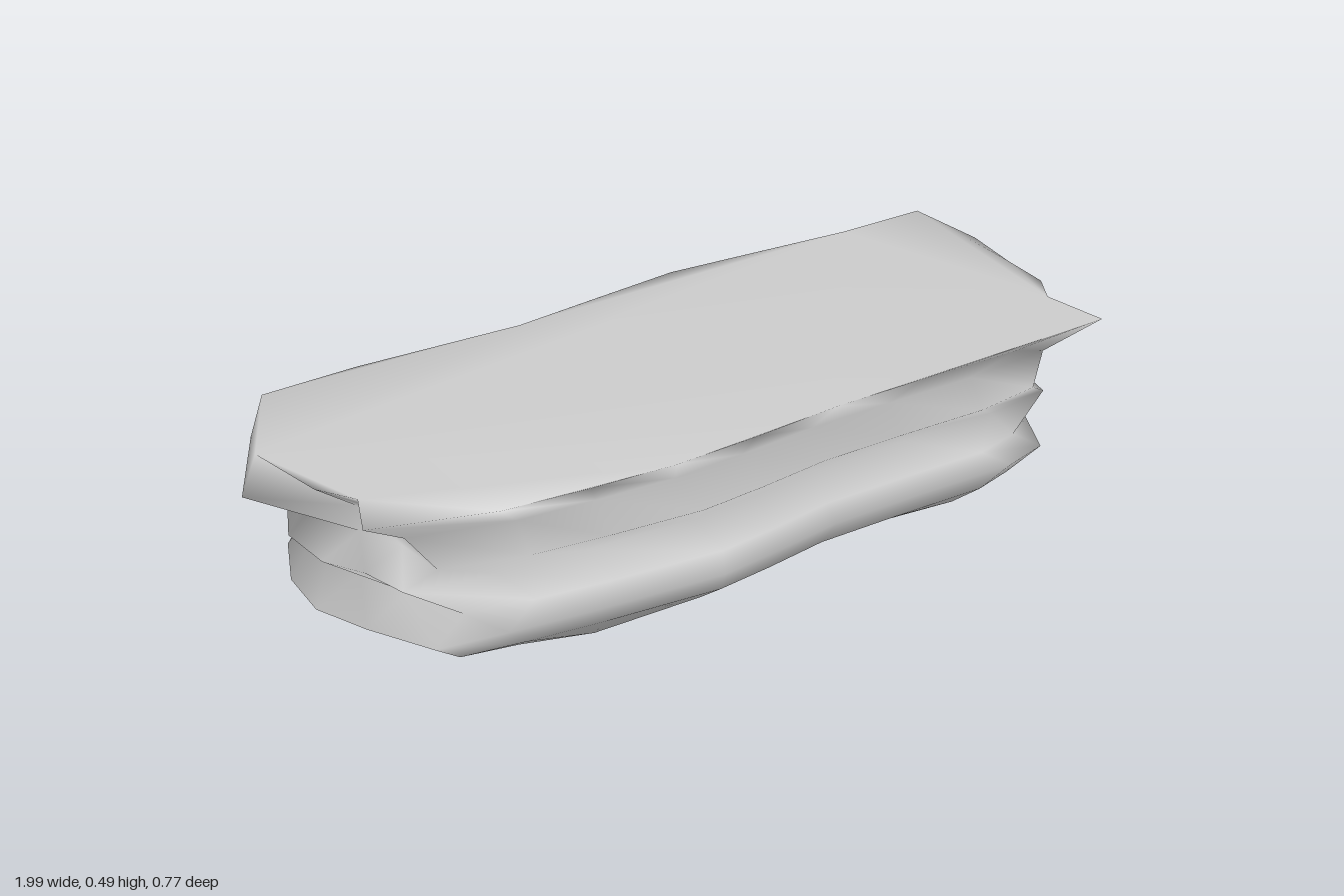
import * as THREE from 'three';

// Plan outlines [x, z], counter-clockwise from above, starting at the front left corner
const LEDGE = [
  [-.87, .24], [-.6, .32], [-.4, .34], [-.2, .353], [0, .345], [.22, .33], [.45, .33], [.7, .335], [.96, .32],
  [.92, .17], [.955, .1], [.95, -.02], [.955, -.16],
  [.92, -.35], [.7, -.35], [.45, -.37], [.23, -.387], [0, -.365], [-.2, -.345], [-.6, -.365], [-.83, -.36],
  [-.92, -.21], [-.94, -.14], [-.89, .05], [-.83, .13],
];
const BULGE = [
  [-.76, .31], [-.6, .335], [-.4, .36], [-.1, .387], [.05, .37], [.22, .345], [.45, .345], [.7, .35], [.81, .32],
  [.86, .2], [.89, .08], [.89, -.05], [.86, -.2],
  [.79, -.31], [.65, -.34], [.45, -.35], [.23, -.35], [0, -.34], [-.2, -.335], [-.6, -.345], [-.77, -.31],
  [-.86, -.21], [-.91, -.08], [-.91, .05], [-.85, .17],
];

// Strata from top to bottom: height, blend ledge-to-bulge, x scale, front z scale, back z scale, end spike
const STRATA = [
  [.505, 0, 1, 1, 1, 0],
  [.428, .1, .89, .82, .85, .17],
  [.37, .5, .885, .96, .95, 0],
  [.318, .6, .98, .82, .84, 0],
  [.265, .9, .885, .98, 1, 0],
  [.21, 1, 1, 1, 1, 0],
  [.15, 1, .91, .92, .95, 0],
  [null, 1, .88, .71, .75, 0],
  [null, 1, .8, .45, .48, 0],
  [null, 1, .7, .15, .16, 0],
  [null, 1, 0, 0, 0, 0],
];

// Lowest line of the underside along x, with a keel left of centre
const KEEL = [[-.85, .1], [-.77, .088], [-.22, .004], [0, .053], [.33, .06], [.48, .042], [.68, .035], [.76, .06], [.85, .12]];

function undersideY(x, z) {
  const i = Math.max(1, KEEL.findIndex(([kx]) => kx >= x));
  const keel = THREE.MathUtils.mapLinear(x, KEEL[i - 1][0], KEEL[i][0], KEEL[i - 1][1], KEEL[i][1]);
  // The underside climbs to the front and back rims and to the middle of each end
  const rise = z > 0 ? .17 * z : .2 * Math.max(0, -z - .17);
  const end = .4 * Math.max(0, Math.abs(x) - .6) * (1 - (z / .27) ** 2);
  return Math.min(.14, keel + rise + end);
}

function rockGeometry() {
  const n = LEDGE.length;
  const last = STRATA.length - 1;
  const positions = [];
  // Flat top
  const outline = LEDGE.map(([x, z]) => new THREE.Vector2(x, -z));
  const index = THREE.ShapeUtils.triangulateShape(outline, []).flat();
  STRATA.forEach(([y, blend, sx, front, back, spike], k) => {
    for (let i = 0; i < n; i++) {
      const z0 = THREE.MathUtils.lerp(LEDGE[i][1], BULGE[i][1], blend);
      const reach = sx + spike * Math.exp(-(((z0 + .15) / .09) ** 2));
      const x = THREE.MathUtils.lerp(LEDGE[i][0], BULGE[i][0], blend) * reach;
      const z = z0 * (z0 > 0 ? front : back);
      positions.push(x, y === null ? undersideY(x, z) : y, z);
      if (k === last) continue;
      const a = k * n + i;
      const b = k * n + (i + 1) % n;
      // The last ring closes to a point
      if (k === last - 1) index.push(a, a + n, b);
      else index.push(a, a + n, b + n, a, b + n, b);
    }
  });
  const geometry = new THREE.BufferGeometry();
  geometry.setAttribute('position', new THREE.Float32BufferAttribute(positions, 3));
  geometry.setIndex(index);
  geometry.computeVertexNormals();
  return geometry;
}

export function createModel() {
  const group = new THREE.Group();
  group.name = 'rockLedge';
  const rock = new THREE.Mesh(
    rockGeometry(),
    new THREE.MeshStandardMaterial({ color: 0xcccccc }),
  );
  rock.name = 'layeredRock';
  group.add(rock);
  return group;
}
